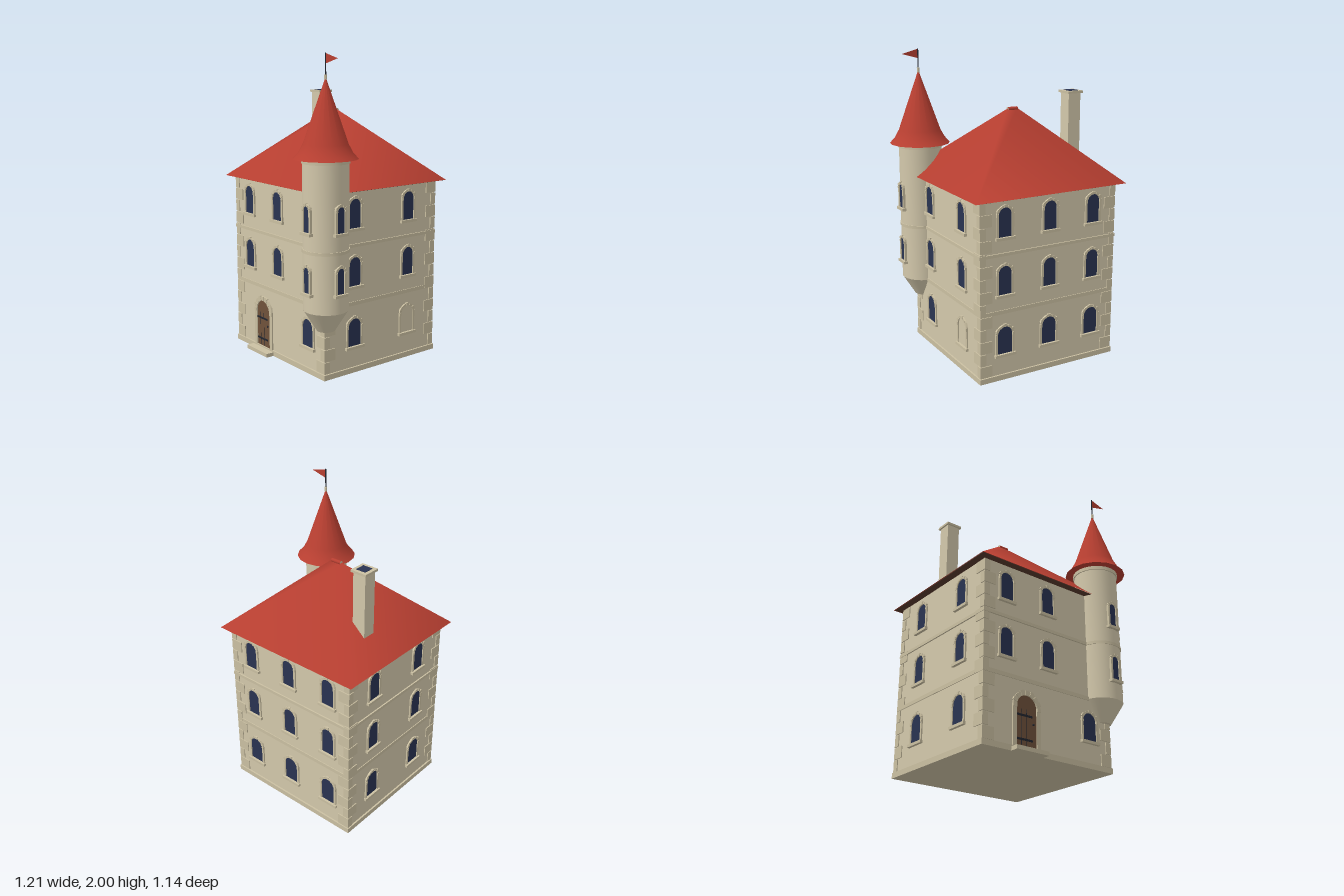
import * as THREE from 'three';
import { toCreasedNormals } from 'three/addons/utils/BufferGeometryUtils.js';

const mat = (name, color, side = THREE.FrontSide) => {
  const m = new THREE.MeshStandardMaterial({ color, side });
  m.name = name;
  return m;
};

export function createModel() {
  const wall = mat('wall plaster', 0xd3c8ab);
  const trim = mat('trim stone', 0xcbc0a2);
  const red = mat('roof tile', 0xb83f31, THREE.DoubleSide);
  const glass = mat('window glass', 0x293351);
  const wood = mat('door wood', 0x6f523b);
  const iron = mat('iron', 0x23262f);
  const eave = mat('eave wood', 0x57382c);

  const model = new THREE.Group();
  model.name = 'towerHouse';
  const add = (parent, name, geo, material, x = 0, y = 0, z = 0) => {
    const m = new THREE.Mesh(geo, material);
    m.name = name;
    m.position.set(x, y, z);
    parent.add(m);
    return m;
  };
  const box = (parent, name, material, w, h, d, x, y, z) =>
    add(parent, name, new THREE.BoxGeometry(w, h, d), material, x, y, z);
  const lathe = (parent, name, material, pts, seg) =>
    add(parent, name, toCreasedNormals(
      new THREE.LatheGeometry(pts.map(p => new THREE.Vector2(...p)), seg), 0.45), material);

  // House centre and half sizes
  const CX = -0.06, CZ = -0.06, HX = 0.49, HZ = 0.46;

  // Walls, plinth and string courses
  box(model, 'walls', wall, HX * 2, 1.17, HZ * 2, CX, 0.587, CZ);
  const course = (name, y0, y1, out) =>
    box(model, name, trim, (HX + out) * 2, y1 - y0, (HZ + out) * 2, CX, (y0 + y1) / 2, CZ);
  course('plinth', 0, 0.035, 0.011);
  course('lowerStringCourse', 0.44, 0.465, 0.005);
  course('upperStringCourse', 0.815, 0.835, 0.009);

  // Corner stones, alternating long and short on each face
  const rows = 14, step = (1.17 - 0.035) / rows;
  for (const sx of [-1, 1]) for (const sz of [-1, 1]) for (let i = 0; i < rows; i++) {
    const w = i % 2 ? 0.035 : 0.078, d = i % 2 ? 0.078 : 0.035, out = 0.006;
    box(model, 'cornerStone', trim, w + out, step - 0.006, d + out,
      CX + sx * (HX + out - (w + out) / 2), 0.035 + (i + 0.5) * step,
      CZ + sz * (HZ + out - (d + out) / 2));
  }

  // Arched outline: half width r, total height h, bottom at y = 0
  const arch = (r, h, PathType = THREE.Shape) => {
    const p = new PathType();
    p.moveTo(-r, 0);
    p.lineTo(r, 0);
    p.lineTo(r, h - r);
    p.absarc(0, h - r, r, 0, Math.PI, false);
    p.closePath();
    return p;
  };
  const extrude = (shape, depth) =>
    new THREE.ExtrudeGeometry(shape, { depth, bevelEnabled: false, curveSegments: 10 });

  // Arched opening with stone surround, radial arch stones and sill
  const opening = (name, x, y, z, turn, o) => {
    const { r, h, border = 0.014, sink = 0.005, fill = glass, sill = true, stones = 7 } = o;
    const g = new THREE.Group();
    g.name = name;
    g.position.set(x, y, z);
    g.rotation.y = turn;
    add(g, name + 'Panel', extrude(arch(r, h), 0.003 + sink), fill, 0, 0, -sink);
    const ring = arch(r + border, h + border);
    ring.holes.push(arch(r - 0.001, h - 0.001, THREE.Path));
    add(g, name + 'Surround', extrude(ring, 0.009 + sink), trim, 0, 0, -sink);
    for (let i = 0; i < stones; i++) {
      const a = Math.PI * i / (stones - 1), len = border + (i % 2 ? 0.004 : 0);
      const s = box(g, name + 'ArchStone', trim, len, Math.PI * r / stones * 0.85, 0.012 + sink,
        Math.cos(a) * (r + len / 2), h - r + Math.sin(a) * (r + len / 2), (0.012 - sink) / 2);
      s.rotation.z = a;
    }
    if (sill) box(g, name + 'Sill', trim, (r + border) * 2 + 0.014, 0.018, 0.019 + sink,
      0, -0.009, (0.019 - sink) / 2);
    model.add(g);
    return g;
  };

  // Wall windows on every side and floor
  const faceZ = CZ + HZ, backZ = CZ - HZ, rightX = CX + HX, leftX = CX - HX;
  const floors = [
    { y: 0.175, r: 0.053, h: 0.18 },
    { y: 0.567, r: 0.047, h: 0.185 },
    { y: 0.935, r: 0.047, h: 0.185 },
  ];
  floors.forEach((f, i) => {
    const size = { r: f.r, h: f.h };
    for (const x of i ? [-0.385, -0.062] : [0.262])
      opening('frontWindow', x, f.y, faceZ, 0, size);
    for (const x of [-0.385, -0.062, 0.262])
      opening('backWindow', x, f.y, backZ, Math.PI, size);
    for (const z of [-0.283, 0.166]) {
      const blind = i === 0 && z < 0;
      opening(blind ? 'blindWindow' : 'rightWindow', rightX, f.y, z, Math.PI / 2,
        { ...size, fill: blind ? wall : glass });
      opening('leftWindow', leftX, f.y, z, -Math.PI / 2, size);
    }
  });

  // Door with iron straps, handle and step
  const door = opening('door', -0.237, 0.035, faceZ, 0,
    { r: 0.075, h: 0.32, border: 0.028, fill: wood, sill: false, stones: 9 });
  for (const y of [0.05, 0.195]) box(door, 'hinge', iron, 0.115, 0.012, 0.005, -0.014, y, 0.004);
  for (const x of [-0.038, 0]) box(door, 'plankJoint', iron, 0.003, 0.23, 0.002, x, 0.118, 0.003);
  add(door, 'handle', new THREE.SphereGeometry(0.007, 10, 8), iron, 0.05, 0.15, 0.006);
  box(model, 'doorStep', trim, 0.236, 0.025, 0.08, -0.237, 0.0125, 0.424);

  // Hipped roof with short ridge, softly shaded across the hips
  const ex = 0.545, ez = 0.512, y0 = 1.173, y1 = 1.63, rx = 0.036;
  const corners = [[-ex, y0, ez], [ex, y0, ez], [ex, y0, -ez], [-ex, y0, -ez], [-rx, y1, 0], [rx, y1, 0]];
  const roofGeo = new THREE.BufferGeometry();
  roofGeo.setAttribute('position', new THREE.Float32BufferAttribute(corners.flat(), 3));
  roofGeo.setIndex([0, 1, 5, 0, 5, 4, 1, 2, 5, 2, 3, 4, 2, 4, 5, 3, 0, 4]);
  roofGeo.computeVertexNormals();
  add(model, 'mainRoof', roofGeo, red, CX, 0, CZ);
  box(model, 'eaves', eave, ex * 2 - 0.012, 0.004, ez * 2 - 0.012, CX, y0, CZ);
  const ridge = add(model, 'ridgeCap', new THREE.CylinderGeometry(0.013, 0.013, 0.072, 10),
    [red, trim, trim], CX, 1.627, CZ);
  ridge.rotation.z = Math.PI / 2;

  // Chimney
  const chX = -0.405, chZ = -0.218;
  box(model, 'chimneyShaft', wall, 0.09, 0.54, 0.09, chX, 1.465, chZ);
  box(model, 'chimneyCap', trim, 0.112, 0.015, 0.112, chX, 1.735, chZ);
  box(model, 'chimneyFlue', glass, 0.067, 0.004, 0.067, chX, 1.743, chZ);

  // Corner turret
  const TX = 0.403, TZ = 0.37, TR = 0.142;
  const turret = new THREE.Group();
  turret.name = 'turret';
  turret.position.set(TX, 0, TZ);
  model.add(turret);
  lathe(turret, 'turretBody', wall, [[0, 0.315], [0.058, 0.315], [TR, 0.45], [TR, 1.38]], 24);
  const band = (name, a, b, r) =>
    lathe(turret, name, trim, [[TR - 0.01, a], [r, a], [r, b], [TR - 0.01, b]], 24);
  band('turretBand', 0.815, 0.835, TR + 0.005);
  band('turretCornice', 1.355, 1.379, TR + 0.007);
  lathe(turret, 'turretRoof', red,
    [[0.13, 1.38], [0.2, 1.38], [0.165, 1.418], [0.138, 1.468], [0.004, 1.85]], 16);
  for (const y of [0.575, 0.948]) {
    const size = { r: 0.027, h: 0.16, sink: 0.025 };
    opening('turretFrontWindow', TX, y, TZ + TR, 0, size);
    opening('turretRightWindow', TX + TR, y, TZ, Math.PI / 2, size);
  }

  // Finial, pole and pennant
  add(turret, 'finial', new THREE.CylinderGeometry(0.009, 0.009, 0.03, 10), trim, 0, 1.86, 0);
  add(turret, 'flagPole', new THREE.CylinderGeometry(0.004, 0.004, 0.14, 8), iron, 0, 1.93, 0);
  const pennant = new THREE.Shape();
  pennant.moveTo(0, 1.937);
  pennant.lineTo(0.115, 1.968);
  pennant.lineTo(0, 1.998);
  add(turret, 'pennant', new THREE.ShapeGeometry(pennant), red);

  return model;
}
